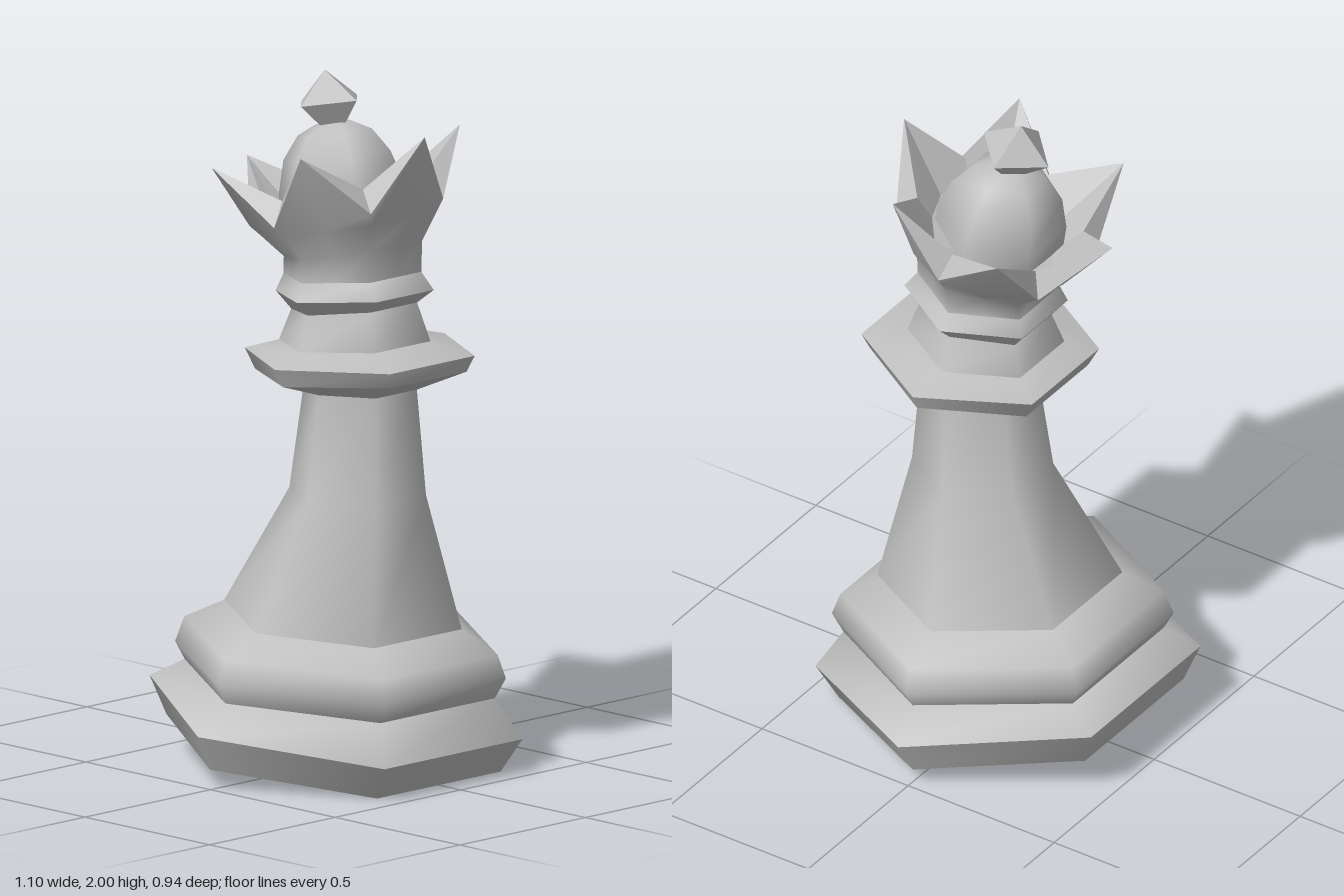
import * as THREE from 'three';
import { mergeGeometries } from 'three/addons/utils/BufferGeometryUtils.js';

// A ring is [y, z, radius, tilt in degrees, midRadius, midLift].
// Positive tilt lowers the front. Mid points lie between the hexagon corners.
function ringPoints([y, z, r, tilt = 0, midR = r * 0.866, lift = 0], sides) {
  const t = THREE.MathUtils.degToRad(tilt);
  const points = [];
  for (let i = 0; i < sides; i++) {
    const a = (i / sides) * Math.PI * 2;
    const mid = sides === 12 && i % 2 === 1;
    const radius = mid ? midR : r;
    const up = mid ? lift : 0;
    const zl = radius * Math.sin(a);
    points.push([
      radius * Math.cos(a),
      y - Math.sin(t) * zl + Math.cos(t) * up,
      z + Math.cos(t) * zl + Math.sin(t) * up,
    ]);
  }
  return points;
}

// Skin between successive rings, listed from the bottom outside upward
function band(rings, sides = 6, flat = false) {
  const position = rings.flatMap((r) => ringPoints(r, sides)).flat();
  const index = [];
  for (let r = 0; r < rings.length - 1; r++) {
    for (let i = 0; i < sides; i++) {
      const j = (i + 1) % sides;
      const a = r * sides + i, b = r * sides + j;
      const d = a + sides, c = b + sides;
      if (rings[r][2] > 0) index.push(a, d, b);
      if (rings[r + 1][2] > 0) index.push(b, d, c);
    }
  }
  const g = new THREE.BufferGeometry();
  g.setAttribute('position', new THREE.Float32BufferAttribute(position, 3));
  g.setIndex(index);
  if (!flat) g.computeVertexNormals();
  const out = g.toNonIndexed();
  if (flat) out.computeVertexNormals();
  return out;
}

// Every pair of rings as its own band, with hard edges between them
function steps(rings, sides = 6, flat = false) {
  return rings.slice(1).map((r, i) => band([rings[i], r], sides, flat));
}

export function createModel() {
  const group = new THREE.Group();
  const stone = new THREE.MeshStandardMaterial({ color: 0xc0c0c0 });
  stone.name = 'grey stone';
  const add = (name, bands) => {
    const mesh = new THREE.Mesh(mergeGeometries(bands), stone);
    mesh.name = name;
    group.add(mesh);
  };

  // Tilted foot with a hollowed underside
  add('foot', steps([
    [0.135, 0, 0, 7.4],
    [0.055, -0.01, 0.492, 7.4],
    [0.16, 0, 0.549, 7.4],
    [0.245, 0.015, 0.455, 4.4],
  ]));

  // Rounded moulding above the foot
  add('baseMoulding', [band([
    [0.245, 0.015, 0.455, 4.4],
    [0.3, 0.018, 0.485, 3.5],
    [0.37, 0.02, 0.46, 4.2],
    [0.433, 0.028, 0.348, 4.3],
  ])]);

  // Tapering body
  add('body', [band([
    [0.433, 0.028, 0.348, 4.3],
    [0.8, 0.087, 0.2],
    [1.11, 0.098, 0.165],
  ])]);

  // Wide collar
  add('collar', steps([
    [1.105, 0.098, 0.165],
    [1.152, 0.1, 0.31, -3],
    [1.205, 0.095, 0.337, -1.5],
    [1.235, 0.075, 0.222, -3],
  ]));

  // Neck and its narrow ring
  add('neck', [band([[1.235, 0.075, 0.222, -3], [1.335, 0.073, 0.185, -7]])]);
  add('neckRing', steps([
    [1.335, 0.073, 0.185, -7],
    [1.38, 0.075, 0.232, -4],
    [1.43, 0.066, 0.202, -4.4],
  ]));

  // Six-pointed crown leaning back; the notches rise inward to a crest,
  // whose mid points meet the rim at the spike tips
  const rim = [1.6, 0.042, 0.288, -13, 0.366, 0.19];
  const crest = [1.668, 0.026, 0.24, -13, 0.366, 0.12];
  const floor = [1.61, 0.035, 0.19, -13, 0.2];
  add('crown', [
    band([
      [1.43, 0.066, 0.202, -4.4],
      [1.5, 0.068, 0.205, -11],
      [1.57, 0.053, 0.262, -13, 0.25],
      rim,
    ], 12),
    ...steps([rim, crest, floor, [1.6, 0.035, 0.15, -13]], 12, true),
  ]);

  // Dome inside the crown
  add('dome', [
    band([
      [1.57, 0.035, 0.185, -12],
      [1.67, 0.02, 0.185, -12],
      [1.76, 0.003, 0.158, -10],
      [1.825, -0.005, 0.11, -10],
      [1.852, -0.008, 0.055, -10],
      [1.857, -0.009, 0, -10],
    ]),
  ]);

  // Four-sided gem on top
  add('finial', steps([
    [1.85, -0.012, 0.05, -9],
    [1.912, -0.028, 0.112, -9],
    [2.0, -0.045, 0, -9],
  ], 4, true));

  return group;
}
